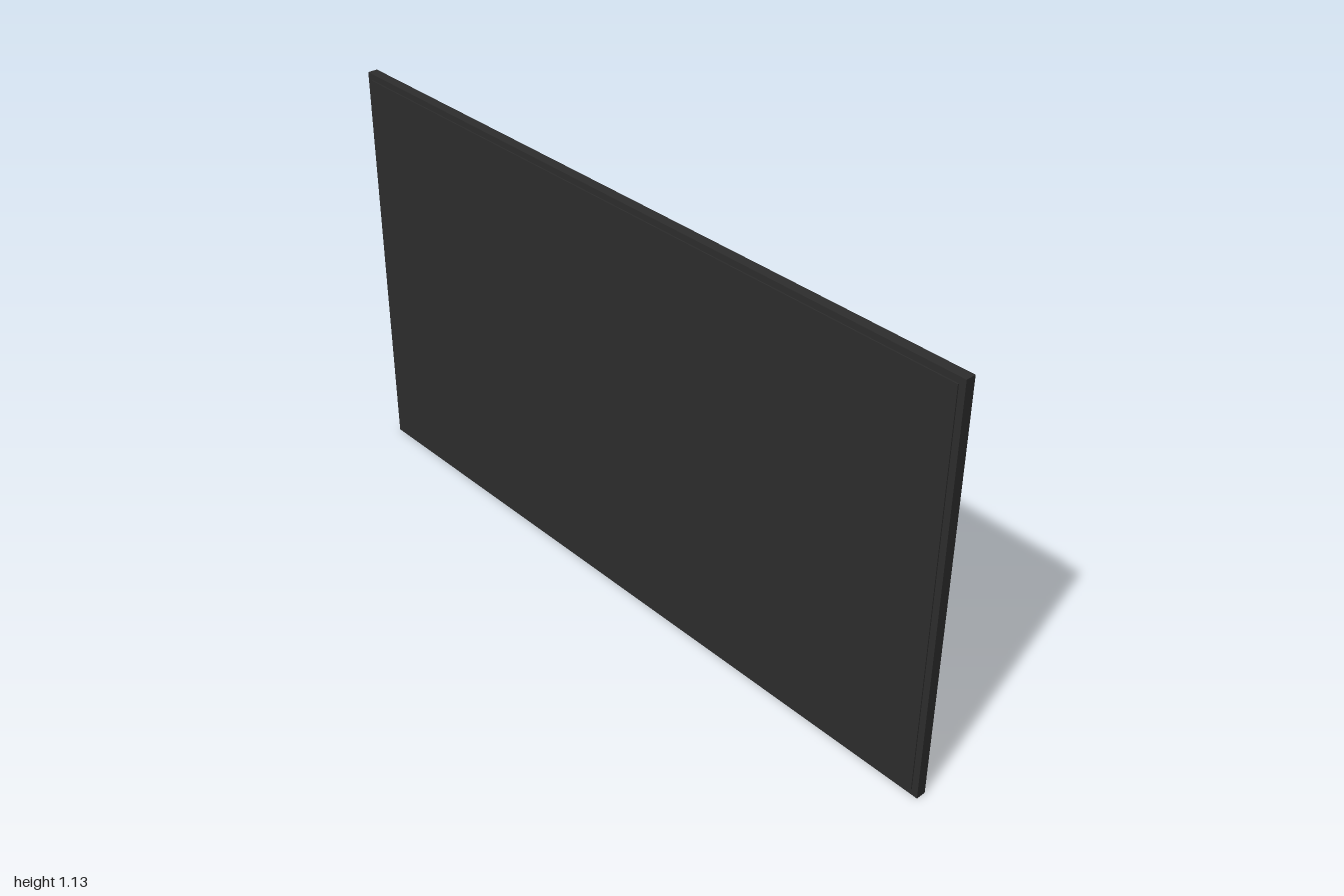
import * as THREE from 'three';

const darkPlastic = new THREE.MeshStandardMaterial({ color: 0x2d2d2d });
darkPlastic.name = 'dark plastic';
const greyMetal = new THREE.MeshStandardMaterial({ color: 0xb0b3bb });
greyMetal.name = 'grey metal';

// Box given by its lower and upper limits on each axis
function block(name, material, [x0, x1], [y0, y1], [z0, z1]) {
  const mesh = new THREE.Mesh(new THREE.BoxGeometry(x1 - x0, y1 - y0, z1 - z0), material);
  mesh.position.set((x0 + x1) / 2, (y0 + y1) / 2, (z0 + z1) / 2);
  mesh.name = name;
  return mesh;
}

export function createModel() {
  const model = new THREE.Group();
  model.name = 'wallScreen';
  model.add(
    // Thin display panel with a slightly raised screen
    block('bezel', darkPlastic, [-1, 1], [0, 1.13], [0.03, 0.057]),
    block('screen', darkPlastic, [-0.983, 0.983], [0.017, 1.113], [0.057, 0.06]),
    // Shallower housing behind the panel
    block('backHousing', darkPlastic, [-0.94, 0.94], [0.045, 1.088], [-0.01, 0.03]),
    // Inverted T bracket on the back
    block('bracketColumn', greyMetal, [-0.04, 0.04], [0.36, 0.665], [-0.06, -0.01]),
    block('bracketFoot', greyMetal, [-0.152, 0.152], [0.35, 0.457], [-0.045, -0.01])
  );
  return model;
}
